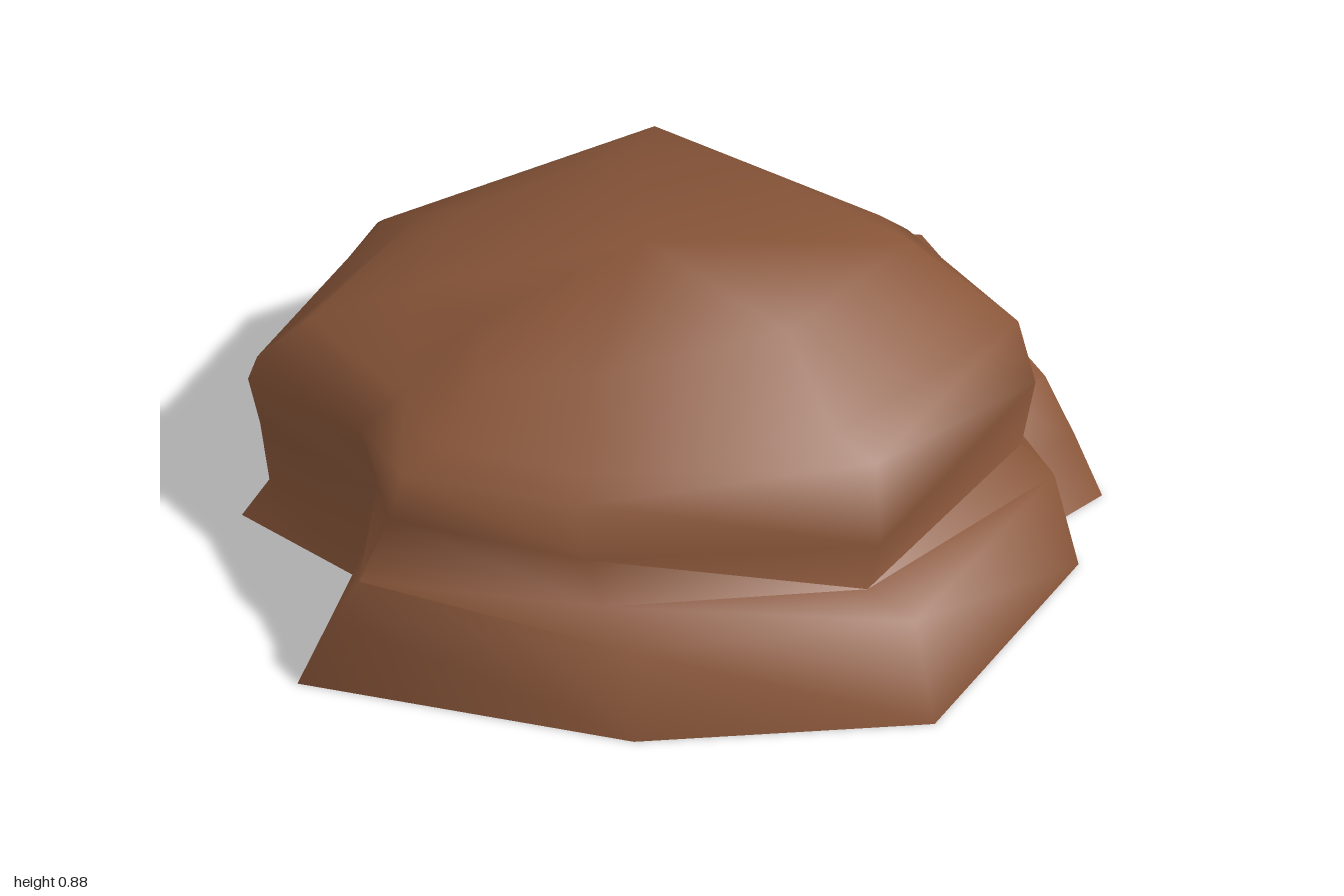
import * as THREE from 'three';
import { toCreasedNormals } from 'three/addons/utils/BufferGeometryUtils.js';

// Skin a stack of rings (lists of [x, y, z], clockwise from above, bottom ring first).
function loft(rings, closed) {
  const n = rings[0].length;
  const index = [];
  for (let r = 0; r < rings.length - 1; r++) {
    for (let i = 0; i < (closed ? n : n - 1); i++) {
      const j = (i + 1) % n;
      const a = r * n + i, b = r * n + j, c = b + n, d = a + n;
      index.push(a, d, c, a, c, b);
    }
  }
  const geometry = new THREE.BufferGeometry();
  geometry.setAttribute('position', new THREE.Float32BufferAttribute(rings.flat(2), 3));
  geometry.setIndex(index);
  return toCreasedNormals(geometry, 1.7);
}

export function createModel() {
  const group = new THREE.Group();
  group.name = 'rock';
  const stone = new THREE.MeshStandardMaterial({ color: 0x8b573a, side: THREE.DoubleSide });
  stone.name = 'brown stone';

  const add = (name, geometry) => {
    const mesh = new THREE.Mesh(geometry, stone);
    mesh.name = name;
    group.add(mesh);
  };

  // Body columns: back, back right, right, front right, spur, notch, front left, left, back left
  const foot = [
    [-0.03, 0, -0.85], [0.74, 0, -0.62], [0.945, 0, 0.04], [0.51, 0, 0.59], [-0.19, 0, 1.0],
    [-0.37, 0, 0.62], [-0.74, 0, 0.65], [-0.95, 0, 0.04], [-0.74, 0, -0.68],
  ];
  const ledgeEdge = [
    [-0.03, 0.22, -0.84], [0.68, 0.24, -0.6], [0.88, 0.265, 0.04], [0.47, 0.225, 0.56], [-0.14, 0.19, 0.94],
    [-0.31, 0.16, 0.61], [-0.7, 0.1, 0.6], [-0.88, 0.1, 0.04], [-0.7, 0.1, -0.64],
  ];
  const ledgeInner = [
    [-0.03, 0.3, -0.83], [0.57, 0.27, -0.6], [0.72, 0.27, 0.04], [0.35, 0.28, 0.54], [-0.11, 0.28, 0.88],
    [-0.27, 0.3, 0.62], [-0.71, 0.27, 0.62], [-0.9, 0.27, 0.04], [-0.71, 0.27, -0.65],
  ];
  const wallTop = [
    [-0.03, 0.38, -0.82], [0.565, 0.42, -0.65], [0.76, 0.42, 0.04], [0.31, 0.4, 0.55], [-0.09, 0.43, 0.8],
    [-0.28, 0.41, 0.64], [-0.73, 0.4, 0.64], [-0.92, 0.43, 0.04], [-0.72, 0.41, -0.66],
  ];
  const rim = [
    [-0.03, 0.45, -0.81], [0.58, 0.645, -0.58], [0.75, 0.655, 0.04], [0.28, 0.54, 0.54], [-0.09, 0.54, 0.76],
    [-0.32, 0.5, 0.67], [-0.72, 0.46, 0.62], [-0.9, 0.45, 0.04], [-0.7, 0.47, -0.64],
  ];
  const step = [
    [-0.03, 0.54, -0.72], [0.51, 0.71, -0.53], [0.61, 0.665, 0.04], [0.25, 0.58, 0.48], [-0.07, 0.58, 0.66],
    [-0.27, 0.58, 0.58], [-0.63, 0.58, 0.54], [-0.78, 0.53, 0.04], [-0.61, 0.56, -0.56],
  ];
  const shoulder = [
    [-0.03, 0.77, -0.45], [0.39, 0.86, -0.42], [0.45, 0.875, 0.04], [0.15, 0.76, 0.38], [-0.06, 0.72, 0.53],
    [-0.2, 0.745, 0.43], [-0.43, 0.7, 0.4], [-0.62, 0.64, 0.04], [-0.46, 0.7, -0.36],
  ];
  const crown = foot.map(() => [-0.07, 0.83, 0]);
  add('boulderBody', loft([foot, ledgeEdge, ledgeInner, wallTop, rim, step, shoulder, crown], true));

  // Arched slab leaning on the back, its inner edge touching the body wall
  const slabFoot = [
    [-0.74, 0, -0.67], [-0.74, 0, -0.84], [-0.03, 0, -1], [0.59, 0, -0.84], [0.59, 0, -0.66],
  ];
  const slabMiddle = [
    [-0.64, 0.09, -0.67], [-0.63, 0.1, -0.83], [-0.03, 0.19, -0.94], [0.5, 0.125, -0.84], [0.5, 0.125, -0.67],
  ];
  const slabCrest = [
    [-0.53, 0.2, -0.69], [-0.53, 0.19, -0.81], [-0.03, 0.41, -0.855], [0.41, 0.255, -0.83], [0.41, 0.26, -0.67],
  ];
  const slabBack = [
    [-0.5, 0.22, -0.69], [-0.45, 0.22, -0.7], [-0.03, 0.43, -0.8], [0.37, 0.28, -0.67], [0.39, 0.27, -0.66],
  ];
  add('backSlab', loft([slabFoot, slabMiddle, slabCrest, slabBack], false));

  return group;
}
